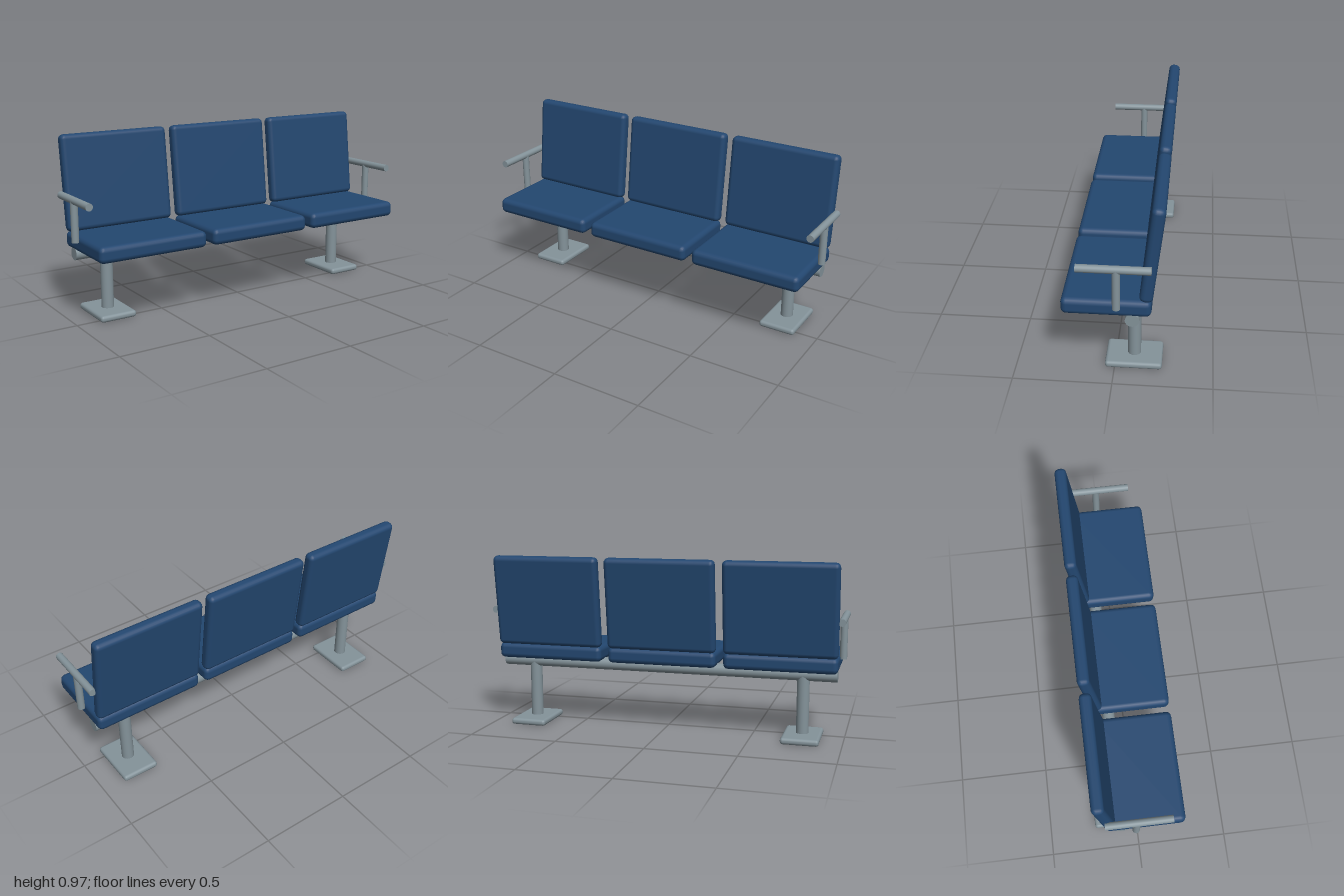
import * as THREE from 'three';
import { RoundedBoxGeometry } from 'three/addons/geometries/RoundedBoxGeometry.js';

export function createModel() {
  const group = new THREE.Group();
  group.name = 'bench';
  const blue = new THREE.MeshStandardMaterial({ color: 0x234770 });
  blue.name = 'navy upholstery';
  const steel = new THREE.MeshStandardMaterial({ color: 0x84939a });
  steel.name = 'grey steel';

  const add = (name, geometry, material, x, y, z) => {
    const mesh = new THREE.Mesh(geometry, material);
    mesh.name = name;
    mesh.position.set(x, y, z);
    group.add(mesh);
    return mesh;
  };
  const tube = (radius, length) => new THREE.CylinderGeometry(radius, radius, length, 20);

  // Three padded seats with reclined backs
  const seatGeo = new RoundedBoxGeometry(0.617, 0.088, 0.44, 2, 0.028);
  const backGeo = new RoundedBoxGeometry(0.617, 0.512, 0.066, 2, 0.026);
  for (const x of [-0.658, 0, 0.658]) {
    add('seat', seatGeo, blue, x, 0.424, 0.031);
    add('backrest', backGeo, blue, x, 0.718, -0.189).rotation.x = -0.115;
  }

  // Beam carrying the seats
  add('beam', tube(0.035, 1.92), steel, 0, 0.36, -0.096).rotation.z = Math.PI / 2;

  // Legs, foot plates and armrests, mirrored
  const footGeo = new RoundedBoxGeometry(0.206, 0.036, 0.29, 2, 0.016);
  for (const side of [-1, 1]) {
    add('leg', tube(0.034, 0.33), steel, side * 0.778, 0.19, -0.096);
    add('footPlate', footGeo, steel, side * 0.778, 0.018, -0.096);
    add('armPost', tube(0.02, 0.22), steel, side * 0.98, 0.55, -0.022);
    add('armRail', tube(0.02, 0.357), steel, side * 0.98, 0.66, -0.01).rotation.x = Math.PI / 2;
  }
  return group;
}
